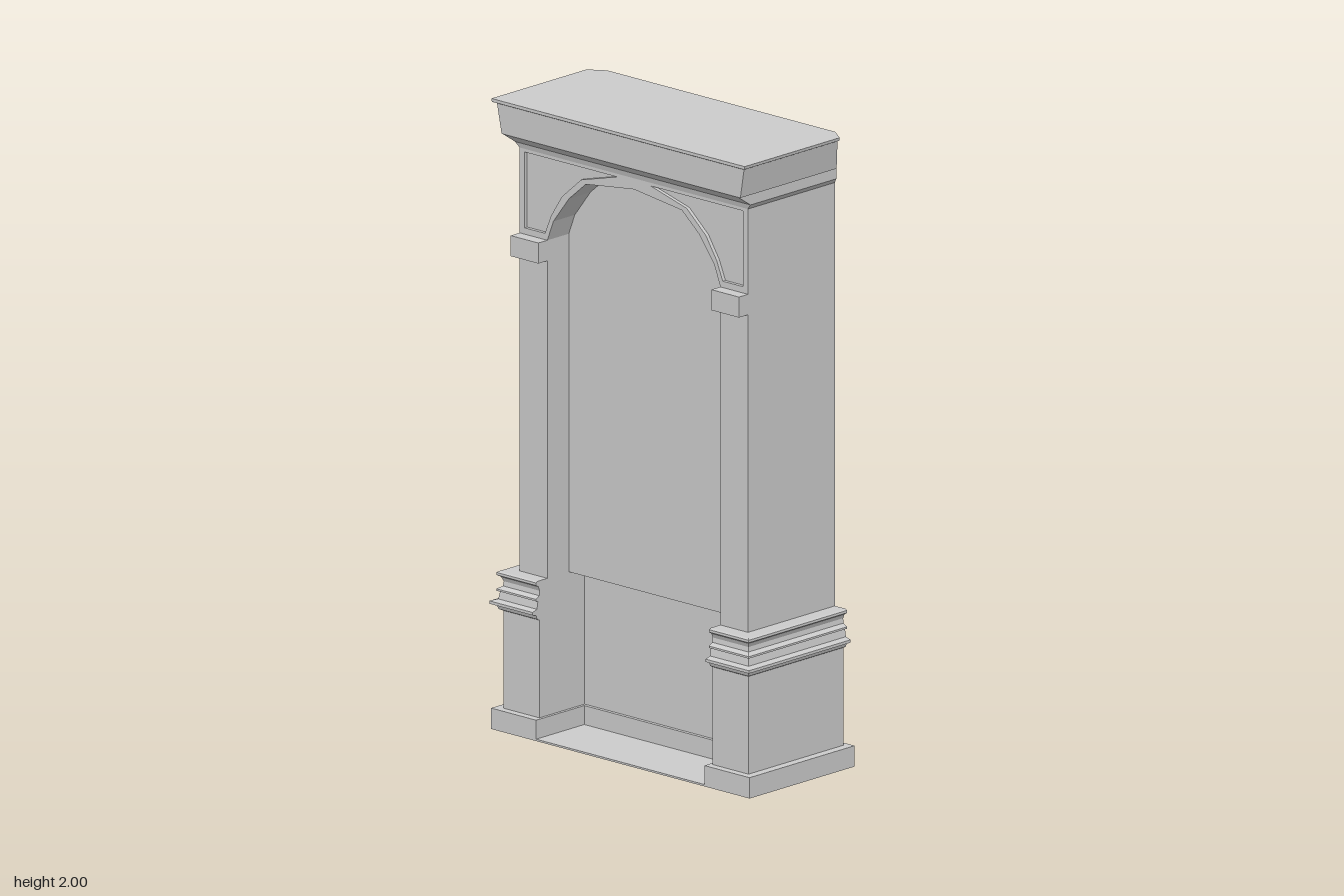
import * as THREE from 'three';

const material = new THREE.MeshStandardMaterial({ color: 0xcccccc, flatShading: true });

function add(group, name, geometry) {
  const mesh = new THREE.Mesh(geometry, material);
  mesh.name = name;
  group.add(mesh);
  return mesh;
}

// Box given by its limits on each axis
function block(x0, x1, y0, y1, z0, z1) {
  return new THREE.BoxGeometry(x1 - x0, y1 - y0, z1 - z0)
    .translate((x0 + x1) / 2, (y0 + y1) / 2, (z0 + z1) / 2);
}

// Skin horizontal rings [{ y, points: [[x, z], ...] }] from bottom to top, with caps
function loft(rings) {
  const pos = [];
  const put = (ring, i) => pos.push(ring.points[i][0], ring.y, ring.points[i][1]);
  const n = rings[0].points.length;
  for (let r = 0; r < rings.length - 1; r++) {
    const lo = rings[r], hi = rings[r + 1];
    for (let i = 0; i < n; i++) {
      const j = (i + 1) % n;
      put(lo, i); put(hi, i); put(lo, j);
      put(lo, j); put(hi, i); put(hi, j);
    }
  }
  const bottom = rings[0], top = rings[rings.length - 1];
  for (let i = 1; i < n - 1; i++) {
    put(bottom, 0); put(bottom, i); put(bottom, i + 1);
    put(top, 0); put(top, i + 1); put(top, i);
  }
  const geometry = new THREE.BufferGeometry();
  geometry.setAttribute('position', new THREE.Float32BufferAttribute(pos, 3));
  geometry.computeVertexNormals();
  return geometry;
}

const toVectors = (points) => points.map(([x, y]) => new THREE.Vector2(x, y));
const mirror = (points) => points.map(([x, y]) => [-x, y]).reverse();

const BACK = -0.22, FRONT = 0.165, HALF = 0.475, INNER = 0.36;

// Right half of the faceted arch, from springing to crown
const arch = [[INNER, 1.57], [0.335, 1.635], [0.27, 1.72], [0.2, 1.78], [0, 1.805]];
const spandrel = [[0.455, 1.59], [0.455, 1.83], [0.07, 1.83], [0.22, 1.79],
  [0.3, 1.72], [0.345, 1.65], [0.37, 1.59]];

// Two piers joined by the arch
function frameShape() {
  return new THREE.Shape(toVectors([
    [HALF, 0.49], [HALF, 1.85], [-HALF, 1.85], [-HALF, 0.49], [-INNER, 0.49],
    ...mirror(arch).reverse(), ...arch.slice(0, -1).reverse(), [INNER, 0.49],
  ]));
}

export function createModel() {
  const model = new THREE.Group();
  model.name = 'archedNiche';

  // Arched frame, with a thin front layer cut out for the sunken spandrels
  const recess = 0.012;
  add(model, 'archedFrame', new THREE.ExtrudeGeometry(frameShape(),
    { depth: FRONT - recess - BACK, bevelEnabled: false }).translate(0, 0, BACK));
  const face = frameShape();
  face.holes.push(new THREE.Path(toVectors(spandrel)), new THREE.Path(toVectors(mirror(spandrel))));
  add(model, 'spandrelFace', new THREE.ExtrudeGeometry(face,
    { depth: recess, bevelEnabled: false }).translate(0, 0, FRONT - recess));

  // Niche walls: the lower part is set further back
  add(model, 'upperBackWall', block(-INNER, INNER, 0.5, 1.82, BACK + 0.001, 0.07));
  add(model, 'lowerBackWall', block(-INNER, INNER, 0.03, 0.5, BACK, 0));

  // Plinth: thin floor, back strip and side blocks
  add(model, 'floor', block(-0.35, 0.35, 0, 0.006, -0.23, 0.225));
  add(model, 'backPlinth', block(-0.35, 0.35, 0, 0.066, -0.24, 0.012));

  // Pedestal profile: outward offset from the pier, and height
  const profile = [[0.035, 0.06], [0.035, 0.375], [0.045, 0.38], [0.05, 0.393], [0.065, 0.397],
    [0.065, 0.406], [0.046, 0.412], [0.042, 0.435], [0.05, 0.438], [0.05, 0.444],
    [0.036, 0.453], [0.034, 0.468], [0.04, 0.482], [0.05, 0.488], [0.05, 0.496], [0.044, 0.5]];

  for (const side of [1, -1]) {
    const half = new THREE.Group();
    half.name = side > 0 ? 'leftPier' : 'rightPier';
    model.add(half);
    const span = (a, b) => (side > 0 ? [a, b] : [-b, -a]);
    add(half, 'plinthBlock', block(...span(0.35, 0.538), 0, 0.066, -0.24, 0.225));
    add(half, 'impost', block(...span(INNER, HALF), 1.505, 1.57, FRONT - 0.01, 0.205));
    add(half, 'mouldedPedestal', loft(profile.map(([o, y]) => {
      const points = [[INNER, BACK], [HALF + o, BACK], [HALF + o, FRONT + o], [INNER, FRONT + o]];
      return { y, points: side > 0 ? points : mirror(points) };
    })));
  }

  // Flaring cornice with clipped back corners: height, half width, front, corner clip
  const cornice = [[1.84, 0.475, 0.165, 0.001], [1.857, 0.49, 0.17, 0.01], [1.89, 0.49, 0.22, 0.01],
    [1.892, 0.497, 0.222, 0.016], [1.985, 0.514, 0.224, 0.03], [1.99, 0.525, 0.235, 0.034],
    [2, 0.527, 0.235, 0.034]];
  add(model, 'cornice', loft(cornice.map(([y, w, front, clip]) => ({
    y,
    points: [[-HALF + 0.001, BACK - 0.002], [HALF - 0.001, BACK - 0.002], [w, BACK + clip],
      [w, front], [-w, front], [-w, BACK + clip]],
  }))));

  return model;
}
